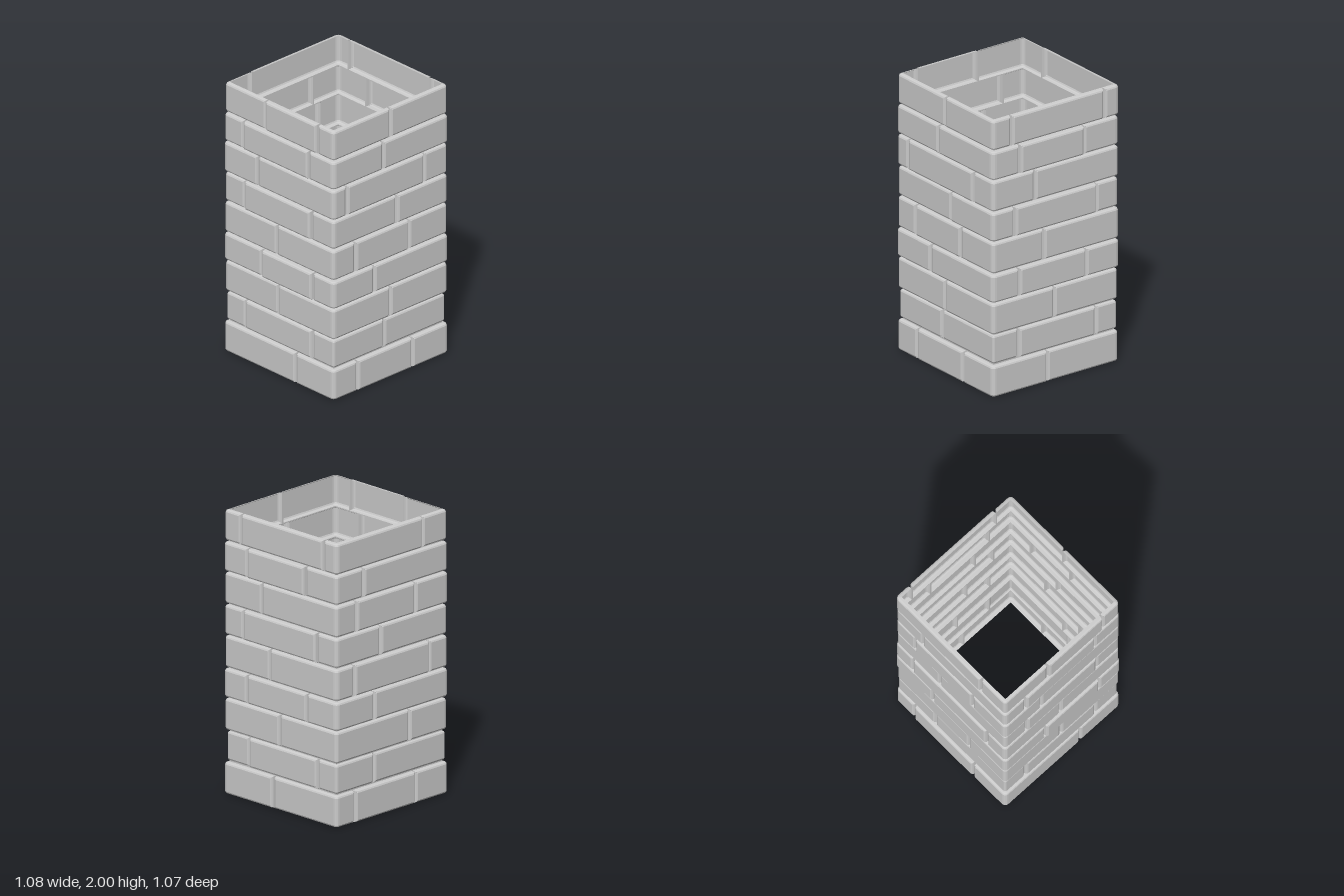
import * as THREE from 'three';

const HALF = 0.5; // half width of the hollow shaft
const material = new THREE.MeshStandardMaterial({ color: 0xcccccc, flatShading: true, side: THREE.DoubleSide });

// Heights of the bed joints, from the ground to the rim
const BEDS = [0, 0.228, 0.445, 0.676, 0.886, 1.117, 1.335, 1.563, 1.778, 2];
// How far each course stands out of the mortar
const DEPTHS = [0.031, 0.018, 0.028, 0.034, 0.03, 0.029, 0.032, 0.034, 0.031];
// Vertical joints of each course: x on front and back, z on the two sides
const COURSES = [
  { front: [-0.305, 0.2], right: [0.07], back: [0.35, -0.22], left: [0.16] },
  { front: [-0.05], right: [0.305, -0.34], back: [0.16], left: [-0.33, 0.31] },
  { front: [0], right: [0.01], back: [-0.17], left: [-0.01] },
  { front: [-0.155], right: [0.31, -0.25], back: [0.17], left: [-0.16, 0.33] },
  { front: [-0.325, 0.17], right: [0.1], back: [0.36, -0.35], left: [-0.02] },
  { front: [0.06], right: [0.345, -0.34], back: [0.105], left: [-0.33, 0.31] },
  { front: [-0.405, 0.31], right: [0.175], back: [0.34, -0.215], left: [-0.2] },
  { front: [-0.07], right: [0.305, -0.235], back: [0.27], left: [-0.34, 0.29] },
  { front: [0], right: [0.37, -0.405], back: [-0.29], left: [-0.13, 0.37] },
];

let seed = 7;
function random() {
  seed = (seed * 16807) % 2147483647;
  return seed / 2147483647;
}

// Point on the square perimeter (one unit per side), pushed out along a normal
function wallPoint(side, along, turn, off, y) {
  const a = side * Math.PI / 2;
  const b = (side + turn) * Math.PI / 2;
  return new THREE.Vector3(
    Math.sin(a) * HALF + Math.cos(a) * (along - HALF) + Math.sin(b) * off,
    y,
    Math.cos(a) * HALF - Math.sin(a) * (along - HALF) + Math.cos(b) * off
  );
}

// Bevelled edge: [distance from the joint line, height above the mortar]
function edgeProfile(gap, depth) {
  const b = 0.014;
  return [[0, 0], [gap, 0], [gap + 0.003, depth - b], [gap + 0.007, depth - b * 0.35], [gap + 0.003 + b, depth]];
}

// Open brick shell from s0 to s1 along the perimeter, wrapping round corners
function brickGeometry(s0, s1, y0, y1, depth, gapBottom, gapTop) {
  const at = (s, off) => ({ side: Math.floor(s), along: s - Math.floor(s), turn: 0, off });
  const edge = edgeProfile(0.005, depth);
  const columns = edge.map(([d, off]) => at(s0 + d, off));
  for (let k = Math.ceil(s0); k < s1; k++) {
    for (let t = 0; t <= 4; t++) columns.push({ side: k - 1, along: 1, turn: t / 4, off: depth });
  }
  columns.push(...edge.map(([d, off]) => at(s1 - d, off)).reverse());

  const rows = [
    ...edgeProfile(gapBottom, depth).map(([d, off]) => [y0 + d, off]),
    ...edgeProfile(gapTop, depth).map(([d, off]) => [y1 - d, off]).reverse(),
  ];
  const grid = columns.map((c) => rows.map(([y, off]) =>
    wallPoint(c.side, c.along, c.turn, Math.min(c.off, off), y)));

  const positions = [];
  const addTriangle = (a, b, c) => {
    if (new THREE.Triangle(a, b, c).getArea() < 1e-9) return;
    positions.push(...a.toArray(), ...b.toArray(), ...c.toArray());
  };
  for (let i = 0; i < grid.length - 1; i++) {
    for (let j = 0; j < rows.length - 1; j++) {
      addTriangle(grid[i][j], grid[i + 1][j], grid[i + 1][j + 1]);
      addTriangle(grid[i][j], grid[i + 1][j + 1], grid[i][j + 1]);
    }
  }
  const geometry = new THREE.BufferGeometry();
  geometry.setAttribute('position', new THREE.Float32BufferAttribute(positions, 3));
  geometry.computeVertexNormals();
  return geometry;
}

export function createModel() {
  const tower = new THREE.Group();
  tower.name = 'brickShaft';

  COURSES.forEach((course, r) => {
    const group = new THREE.Group();
    group.name = `brickCourse${r + 1}`;
    // Joints as distances round the perimeter, starting at the front's -x corner
    const joints = [
      ...course.front.map((x) => 0.5 + x),
      ...course.right.map((z) => 1.5 - z),
      ...course.back.map((x) => 2.5 - x),
      ...course.left.map((z) => 3.5 + z),
    ];
    joints.forEach((s0, i) => {
      const s1 = i + 1 < joints.length ? joints[i + 1] : joints[0] + 4;
      const wraps = Math.ceil(s0) < s1;
      // Plain bricks stand out a little further than the corner bricks
      const depth = DEPTHS[r] + (random() - 0.5) * 0.008 + (wraps ? -0.002 : 0.005);
      const geometry = brickGeometry(s0, s1, BEDS[r], BEDS[r + 1], depth,
        r === 0 ? 0 : 0.004, r === COURSES.length - 1 ? 0 : 0.004);
      const brick = new THREE.Mesh(geometry, material);
      brick.name = wraps ? 'cornerBrick' : 'brick';
      group.add(brick);
    });
    tower.add(group);
  });
  return tower;
}
